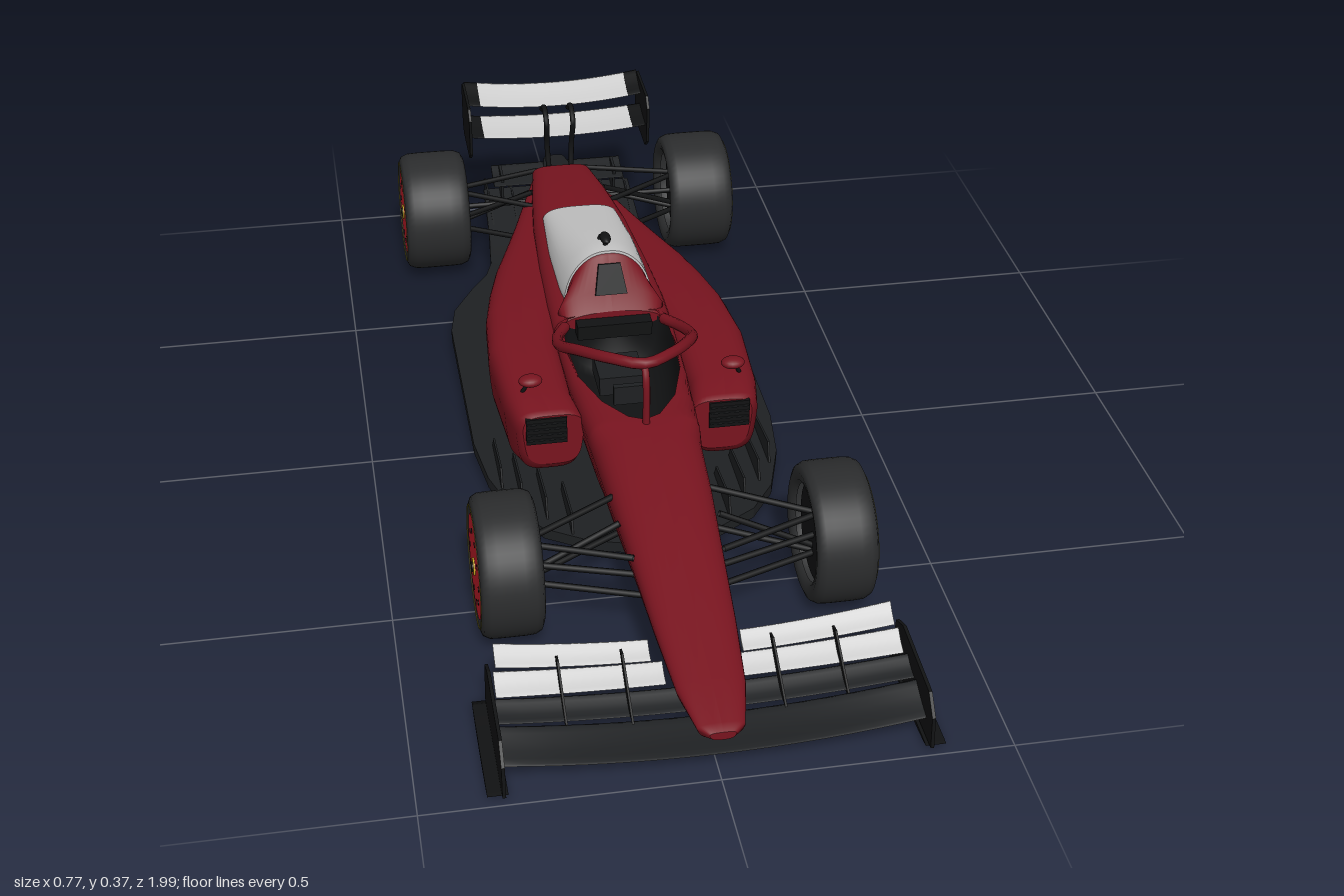
import * as THREE from 'three';
import { mergeVertices } from 'three/addons/utils/BufferGeometryUtils.js';

const mat = (color) => new THREE.MeshStandardMaterial({ color, side: THREE.DoubleSide });
const V = (x, y, z) => new THREE.Vector3(x, y, z);
const lerp = THREE.MathUtils.lerp;

// Skin through equal-length rings of points, with optional end caps
function loft(rings, caps = true) {
  const pos = [], idx = [], n = rings[0].length;
  rings.forEach((r) => r.forEach((p) => pos.push(p.x, p.y, p.z)));
  for (let i = 0; i < rings.length - 1; i++) {
    for (let j = 0; j < n - 1; j++) {
      const a = i * n + j, c = a + n;
      idx.push(a, c, a + 1, a + 1, c, c + 1);
    }
  }
  if (caps) [rings[0], rings[rings.length - 1]].forEach((r, k) => {
    const base = pos.length / 3, mid = V(0, 0, 0);
    r.forEach((p) => { pos.push(p.x, p.y, p.z); mid.addScaledVector(p, 1 / n); });
    pos.push(mid.x, mid.y, mid.z);
    for (let j = 0; j < n - 1; j++) {
      idx.push(base + n, base + j + (k ? 1 : 0), base + j + (k ? 0 : 1));
    }
  });
  const g = new THREE.BufferGeometry();
  g.setAttribute('position', new THREE.Float32BufferAttribute(pos, 3));
  g.setIndex(idx);
  g.computeVertexNormals();
  return g;
}

// Superellipse cross-section, narrowed at the bottom, open on top over +-h
function section(z, cx, w, yb, yt, n = 4, taper = 0.8, h = 0) {
  const d = Math.asin(Math.pow(h / w, n / 2)), pts = [];
  for (let i = 0; i <= 40; i++) {
    const a = Math.PI / 2 + d + (i / 40) * (2 * Math.PI - 2 * d);
    const pw = (v) => Math.sign(v) * Math.pow(Math.abs(v), 2 / n);
    const v = pw(Math.sin(a));
    pts.push(V(cx + w * pw(Math.cos(a)) * lerp(taper, 1, (v + 1) / 2), lerp(yb, yt, (v + 1) / 2), z));
  }
  return pts;
}

// Wing element along x; f(u) gives [front z, front y, back z, back y]
function foil(x0, x1, f, thick = 0.004) {
  const rings = [];
  for (let i = 0; i <= 16; i++) {
    const x = lerp(x0, x1, i / 16), [zf, yf, zb, yb] = f(x), ring = [];
    for (let j = 0; j <= 14; j++) {
      const a = (j / 14) * Math.PI * 2, k = (1 - Math.cos(a)) / 2;
      const sag = -0.006 * Math.sin(k * Math.PI);
      ring.push(V(x, lerp(yf, yb, k) + sag + thick * Math.sin(a), lerp(zf, zb, k)));
    }
    rings.push(ring);
  }
  return loft(rings);
}

// Thin upright plate drawn as [z, y] points
function plate(pts, x, t = 0.006) {
  const s = new THREE.Shape(pts.map(([z, y]) => new THREE.Vector2(z, y)));
  return new THREE.ExtrudeGeometry(s, { depth: t, bevelEnabled: false }).rotateY(-Math.PI / 2).translate(x + t / 2, 0, 0);
}
const tube = (pts, r) => new THREE.TubeGeometry(new THREE.CatmullRomCurve3(pts), 40, r, 10);
function rod(a, b, r = 0.006) {
  return new THREE.TubeGeometry(new THREE.LineCurve3(V(...a), V(...b)), 1, r, 8);
}
const box = (w, h, d, x, y, z) => new THREE.BoxGeometry(w, h, d).translate(x, y, z);

export function createModel() {
  const car = new THREE.Group();
  const red = mat(0x78141f), dark = mat(0x1e2022), black = mat(0x111213), rubber = mat(0x2b2c2d);
  const white = mat(0xcccccc), rimRed = mat(0xc01c28), yellow = mat(0xc8a820), olive = mat(0x6b6420);
  const add = (name, geo, m, parent = car) => {
    const mesh = new THREE.Mesh(geo, m);
    mesh.name = name;
    parent.add(mesh);
  };
  const pair = (name, geo, m) => {
    const g = mergeVertices(geo.clone()).scale(-1, 1, 1);
    g.setIndex(Array.from(g.index.array).reverse());
    add(name + 'Left', geo, m);
    add(name + 'Right', g, m);
  };

  // Nose, tub with cockpit opening, and tail: z, half-width, bottom, top, opening
  const tub = [[1, 0.025, 0.092, 0.108, 0], [0.985, 0.045, 0.085, 0.116, 0], [0.9, 0.066, 0.077, 0.134, 0],
    [0.76, 0.08, 0.072, 0.162, 0], [0.6, 0.092, 0.066, 0.193, 0], [0.44, 0.105, 0.057, 0.22, 0],
    [0.32, 0.112, 0.052, 0.231, 0], [0.275, 0.115, 0.05, 0.234, 0], [0.26, 0.116, 0.05, 0.234, 0.03],
    [0.2, 0.12, 0.05, 0.235, 0.07], [0.1, 0.126, 0.05, 0.236, 0.1], [0, 0.13, 0.05, 0.238, 0.108],
    [-0.07, 0.132, 0.05, 0.24, 0.106], [-0.1, 0.132, 0.05, 0.242, 0.09], [-0.11, 0.132, 0.05, 0.243, 0],
    [-0.2, 0.132, 0.05, 0.244, 0], [-0.35, 0.126, 0.05, 0.236, 0], [-0.54, 0.112, 0.05, 0.229, 0],
    [-0.7, 0.092, 0.06, 0.216, 0], [-0.83, 0.072, 0.1, 0.195, 0]];
  add('body', loft(tub.map(([z, w, b, t, h]) => section(z, 0, w, b, t, z > 0.3 ? 3 : 4, 0.7, h))), red);

  // Cockpit bucket
  const bucket = tub.slice(7, 15).map(([z, , , , h]) => Array.from({ length: 21 }, (_, i) => {
    const a = Math.PI * (1 + i / 20);
    return V(h * Math.cos(a), 0.224 - 0.12 * Math.min(1, h / 0.07) * Math.pow(Math.abs(Math.sin(a)), 0.6), z);
  }));
  add('cockpit', loft(bucket, false), black);
  add('seat', box(0.09, 0.04, 0.09, 0, 0.14, -0.03), dark);
  add('headrest', box(0.15, 0.03, 0.03, 0, 0.215, -0.085), black);
  add('steeringWheel', box(0.07, 0.04, 0.012, 0, 0.19, 0.12), dark);

  // Sidepods: z, inner x, outer x, bottom, top
  const pods = [[0.2, 0.1, 0.225, 0.1, 0.21], [0.19, 0.1, 0.238, 0.085, 0.217], [0.12, 0.11, 0.251, 0.06, 0.222],
    [-0.05, 0.11, 0.262, 0.05, 0.222], [-0.2, 0.09, 0.251, 0.048, 0.216], [-0.3, 0.07, 0.233, 0.048, 0.209],
    [-0.4, 0.05, 0.208, 0.05, 0.202], [-0.5, 0.03, 0.175, 0.05, 0.195], [-0.6, 0.02, 0.142, 0.055, 0.188],
    [-0.7, 0.01, 0.112, 0.065, 0.18], [-0.83, 0, 0.07, 0.1, 0.17]];
  pair('sidepod', loft(pods.map(([z, a, b, y0, y1]) => section(z, (a + b) / 2, (b - a) / 2, y0, y1, 3.6, 0.8))), red);
  pair('sidepodInlet', box(0.078, 0.056, 0.02, 0.176, 0.178, 0.194), black);
  for (let i = 0; i < 4; i++) pair('inletSlat', box(0.074, 0.003, 0.004, 0.176, 0.16 + i * 0.012, 0.205), dark);

  // Airbox and light engine cover
  add('airbox', loft([section(-0.1, 0, 0.095, 0.2, 0.243, 2, 1), section(-0.125, 0, 0.09, 0.2, 0.28, 2, 1.35),
    section(-0.15, 0, 0.06, 0.2, 0.342, 2.4, 1.7), section(-0.17, 0, 0.06, 0.2, 0.345, 2.4, 1.7)]), red);
  add('engineCover', loft([section(-0.158, 0, 0.062, 0.2, 0.349, 2.4, 1.7), section(-0.21, 0, 0.064, 0.19, 0.344, 2.4, 1.7),
    section(-0.36, 0, 0.075, 0.19, 0.298, 2.6, 1.35), section(-0.54, 0, 0.078, 0.18, 0.246, 3, 1.1)]), white);
  const inlet = new THREE.Shape([[-0.032, 0], [0.032, 0], [0.022, 0.062], [-0.022, 0.062]].map((p) => new THREE.Vector2(...p)));
  add('airIntake', new THREE.ExtrudeGeometry(inlet, { depth: 0.012, bevelEnabled: false }).rotateX(-0.42).translate(0, 0.27, -0.122), black);
  add('cameraStalk', rod([0, 0.33, -0.19], [0, 0.36, -0.19], 0.005), black);
  add('camera', new THREE.SphereGeometry(0.011, 16, 10).scale(1, 0.75, 2).translate(0, 0.361, -0.19), black);
  add('coverVent', new THREE.SphereGeometry(0.01, 12, 8).scale(1, 0.5, 2.2).translate(0, 0.338, -0.225), black);

  // Halo hoop, its centre strut, and mirrors
  const arm = [[0.1, 0.228, -0.08], [0.122, 0.245, -0.02], [0.128, 0.275, 0.06], [0.105, 0.318, 0.15], [0.055, 0.345, 0.23]];
  const hoop = [...arm.map((p) => V(...p)), V(0, 0.35, 0.265), ...arm.map(([x, y, z]) => V(-x, y, z)).reverse()];
  add('halo', tube(hoop, 0.011), red);
  add('haloStrut', tube([V(0, 0.35, 0.262), V(0, 0.325, 0.28), V(0, 0.23, 0.285)], 0.007), red);
  pair('mirror', new THREE.SphereGeometry(1, 18, 12).scale(0.023, 0.011, 0.018).translate(0.196, 0.247, 0.13), red);
  pair('mirrorStem', rod([0.2, 0.243, 0.13], [0.215, 0.21, 0.12], 0.004), black);

  // Floor, plank, floor fences and diffuser
  const edge = [[0.05, 0.4], [0.12, 0.38], [0.2, 0.33], [0.25, 0.26], [0.285, 0.15], [0.3, 0.03], [0.3, -0.4],
    [0.285, -0.48], [0.24, -0.56], [0.2, -0.62], [0.18, -0.68]];
  const outline = [...edge, ...edge.map(([x, z]) => [-x, z]).reverse()];
  const floor = new THREE.Shape(outline.map((p) => new THREE.Vector2(...p)));
  add('floor', new THREE.ExtrudeGeometry(floor, { depth: 0.022, bevelEnabled: false }).rotateX(Math.PI / 2).translate(0, 0.045, 0), dark);
  add('plank', box(0.12, 0.014, 1.0, 0, 0.018, -0.12), black);
  [0.15, 0.19, 0.23, 0.262].forEach((x, i) => {
    const z = 0.36 - i * 0.055;
    pair('floorFence', plate([[z, 0.03], [z - 0.02, 0.085], [z - 0.14, 0.07], [z - 0.16, 0.03]], x, 0.004), dark);
  });
  add('diffuser', loft([section(-0.66, 0, 0.185, 0.023, 0.045, 8, 1), section(-0.78, 0, 0.175, 0.05, 0.062, 8, 1),
    section(-0.92, 0, 0.17, 0.092, 0.1, 8, 1)]), dark);
  [0.055, 0.105, 0.16].forEach((x) => pair('diffuserFin',
    plate([[-0.72, 0.04], [-0.9, 0.1], [-0.975, 0.098], [-0.975, 0.035], [-0.9, 0.045]], x, 0.004), dark));

  // Front wing: two dark planes, light flaps, endplates
  const q = (x) => (x / 0.35) ** 2;
  add('frontMainPlane', foil(-0.355, 0.355, (x) => [0.975 - 0.015 * q(x), 0.038 + 0.012 * q(x), 0.89, 0.05 + 0.025 * q(x)], 0.005), dark);
  add('frontSecondPlane', foil(-0.355, 0.355, (x) => [0.88, 0.052 + 0.018 * q(x), 0.835, 0.068 + 0.018 * q(x)]), dark);
  pair('frontLowerFlap', foil(0.062, 0.35, (x) => [0.83, 0.072 + 0.012 * q(x), 0.79, 0.09 + 0.018 * q(x)]), white);
  pair('frontUpperFlap', foil(0.08, 0.345, (x) => [0.785, 0.087 + 0.024 * q(x), 0.75, 0.106 + 0.03 * q(x)]), white);
  pair('frontEndplate', plate([[0.995, 0.015], [0.99, 0.075], [0.96, 0.108], [0.8, 0.118], [0.76, 0.1], [0.75, 0.015]], 0.358), black);
  pair('frontFootplate', foil(0.35, 0.385, () => [0.985, 0.012, 0.755, 0.016], 0.004), black);
  [0.13, 0.24].forEach((x) => pair('flapBracket', plate([[0.9, 0.055], [0.79, 0.115], [0.77, 0.11], [0.86, 0.055]], x, 0.004), black));

  // Rear wing with dark curled tips, endplates and curved pylons
  const top = (x) => [-0.915, 0.303 + 0.016 * (x / 0.2) ** 2, -0.985, 0.33 + 0.016 * (x / 0.2) ** 2];
  const low = (x) => [-0.85, 0.258 + 0.012 * (x / 0.2) ** 2, -0.93, 0.277 + 0.01 * (x / 0.2) ** 2];
  [['Flap', top], ['MainPlane', low]].forEach(([n, f]) => {
    add('rear' + n, foil(-0.17, 0.17, f), white);
    pair('rear' + n + 'Tip', foil(0.17, 0.2, f, 0.005), black);
  });
  pair('rearEndplate', plate([[-0.835, 0.235], [-0.83, 0.32], [-0.85, 0.342], [-0.975, 0.347], [-0.99, 0.335],
    [-0.99, 0.24], [-0.97, 0.222], [-0.86, 0.215]], 0.202), black);
  pair('rearPylon', tube([V(0.025, 0.17, -0.84), V(0.028, 0.24, -0.85), V(0.03, 0.3, -0.835), V(0.03, 0.322, -0.87), V(0.03, 0.3, -0.91)], 0.006), black);
  add('beamWing', foil(-0.15, 0.15, () => [-0.86, 0.135, -0.93, 0.155]), dark);
  pair('beamSupport', plate([[-0.88, 0.09], [-0.87, 0.155], [-0.92, 0.16], [-0.93, 0.09]], 0.13), dark);
  add('crashStructure', loft([section(-0.82, 0, 0.05, 0.115, 0.18), section(-0.95, 0, 0.025, 0.13, 0.16)]), dark);
  add('rearLight', box(0.03, 0.02, 0.008, 0, 0.145, -0.952), rimRed);

  // Wheels: tyre, cover with dots, hub, marking ring, inner drum
  const wheel = (name, x, z, hw) => [1, -1].forEach((s) => {
    const g = new THREE.Group();
    g.name = name + (s > 0 ? 'Left' : 'Right');
    const prof = [[0.09, -0.8], [0.096, -0.95], [0.112, -1], [0.123, -0.92], [0.129, -0.72], [0.13, -0.4], [0.13, 0.4],
      [0.129, 0.72], [0.123, 0.92], [0.112, 1], [0.096, 0.95], [0.09, 0.8]];
    const disc = (r, t, px) => new THREE.CylinderGeometry(r, r, t, 40).rotateZ(-Math.PI / 2).translate(px, 0, 0);
    add('tyre', new THREE.LatheGeometry(prof.map(([r, y]) => new THREE.Vector2(r, y * hw)), 56).rotateZ(-Math.PI / 2), rubber, g);
    add('wheelCover', disc(0.094, 0.01, hw * 0.9), rimRed, g);
    add('innerDrum', disc(0.091, 0.01, -hw * 0.55), black, g);
    add('hub', disc(0.016, 0.014, hw * 0.92), yellow, g);
    add('hubNut', disc(0.009, 0.018, hw * 0.93), black, g);
    add('tyreRing', new THREE.TorusGeometry(0.11, 0.0016, 6, 56).rotateY(Math.PI / 2).translate(hw * 0.995, 0, 0), olive, g);
    for (let i = 0; i < 10; i++) {
      const a = (i / 10) * Math.PI * 2;
      add('coverHole', disc(0.005, 0.002, hw * 0.9 + 0.005).translate(0, 0.066 * Math.sin(a), 0.066 * Math.cos(a)), black, g);
    }
    g.position.set(s * x, 0.134, z);
    if (s < 0) g.rotation.y = Math.PI;
    car.add(g);
  });
  wheel('frontWheel', 0.296, 0.535, 0.056);
  wheel('rearWheel', 0.296, -0.78, 0.071);

  // Suspension arms
  const arms = (name, hub, ends) => ends.forEach(([a, y]) => pair(name, rod(a, [hub[0], y, hub[1]]), black));
  arms('frontArm', [0.27, 0.535], [[[0.09, 0.185, 0.44], 0.175], [[0.08, 0.175, 0.61], 0.175], [[0.07, 0.1, 0.43], 0.09],
    [[0.06, 0.09, 0.61], 0.09], [[0.09, 0.185, 0.52], 0.1], [[0.07, 0.13, 0.6], 0.13]]);
  arms('rearArm', [0.26, -0.78], [[[0.08, 0.18, -0.67], 0.18], [[0.05, 0.17, -0.86], 0.18], [[0.08, 0.1, -0.66], 0.09],
    [[0.04, 0.12, -0.87], 0.09], [[0.06, 0.135, -0.78], 0.135], [[0.08, 0.19, -0.72], 0.1]]);
  return car;
}
